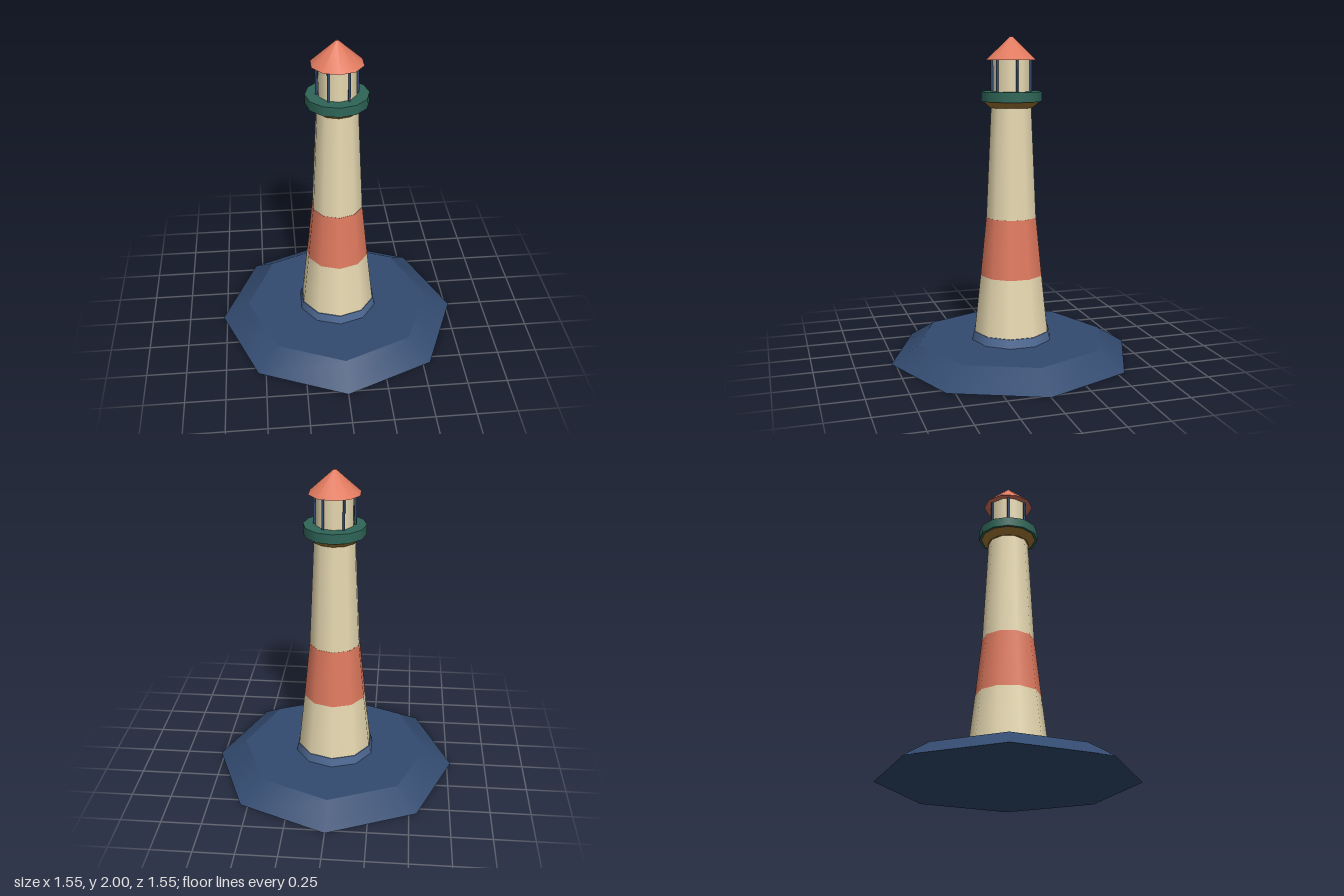
import * as THREE from 'three';

const paint = (name, color) => {
  const material = new THREE.MeshStandardMaterial({ color });
  material.name = name;
  return material;
};

export function createModel() {
  const navy = paint('navy', 0x334b70);
  const slate = paint('slateBlue', 0x4f6a94);
  const cream = paint('cream', 0xe8dab2);
  const coral = paint('coral', 0xe07a5f);
  const green = paint('deepGreen', 0x2f6658);
  const ochre = paint('ochre', 0xa87a32);

  const lighthouse = new THREE.Group();
  lighthouse.name = 'lighthouse';

  // One tapered section between two heights
  const section = (name, material, y0, y1, r0, r1, sides) => {
    const geometry = new THREE.CylinderGeometry(r1, r0, y1 - y0, sides);
    const mesh = new THREE.Mesh(geometry, material);
    mesh.name = name;
    mesh.position.y = (y0 + y1) / 2;
    lighthouse.add(mesh);
    return mesh;
  };

  // Island and tower
  section('island', navy, 0, 0.11, 0.775, 0.6, 8);
  section('footing', slate, 0.11, 0.165, 0.258, 0.246, 10);
  section('lowerTower', cream, 0.165, 0.525, 0.241, 0.201, 10);
  section('towerBand', coral, 0.525, 0.892, 0.201, 0.163, 10);
  section('upperTower', cream, 0.892, 1.575, 0.162, 0.129, 10);

  // Gallery
  section('corbel', ochre, 1.572, 1.61, 0.135, 0.175, 12);
  section('gallery', green, 1.61, 1.67, 0.191, 0.191, 12);

  // Lantern room with six posts, two of them on the x axis
  section('lanternRoom', cream, 1.67, 1.86, 0.117, 0.117, 10);
  for (let i = 0; i < 6; i++) {
    const a = (i * Math.PI) / 3;
    const post = section('lanternPost', navy, 1.67, 1.86, 0.008, 0.008, 6);
    post.position.x = Math.cos(a) * 0.122;
    post.position.z = Math.sin(a) * 0.122;
  }

  // Roof
  section('roof', coral, 1.86, 2, 0.16, 0.008, 10);

  return lighthouse;
}
